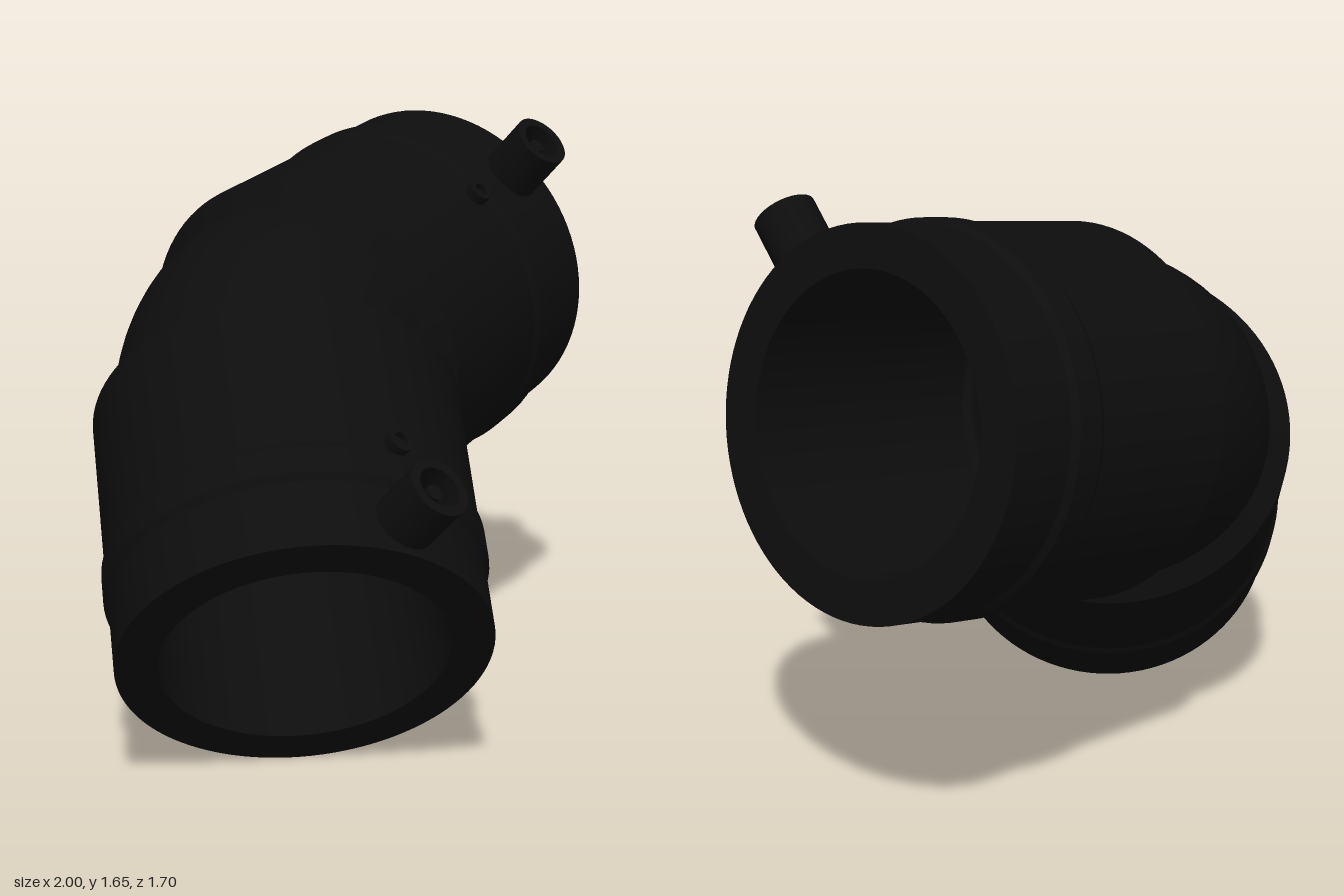
import * as THREE from 'three';
import { toCreasedNormals } from 'three/addons/utils/BufferGeometryUtils.js';

const rad = THREE.MathUtils.degToRad;
const black = new THREE.MeshStandardMaterial({ color: 0x0d0d0d, side: THREE.DoubleSide });
black.name = 'black plastic';

function lathe(name, profile, segments) {
  const geo = new THREE.LatheGeometry(profile.map(([r, y]) => new THREE.Vector2(r, y)), segments);
  const mesh = new THREE.Mesh(toCreasedNormals(geo, rad(25)), black);
  mesh.name = name;
  return mesh;
}

// One pipe socket: runs along +y from the bend corner, fittings point to +z
function makeSocket(name) {
  const socket = new THREE.Group();
  socket.name = name;

  // Chamfered shoulder, raised band, open mouth, bore and pipe stop
  socket.add(lathe('socketWall', [
    [0.45, 0.115], [0.515, 0.17], [0.507, 0.655], [0.517, 0.675], [0.516, 0.755],
    [0.503, 0.775], [0.5, 0.973], [0.387, 0.973], [0.385, 0.18], [0.36, 0.165],
  ], 96));

  // Shrouded terminal with a contact pin in its well
  const terminal = lathe('terminal', [
    [0.085, 0.45], [0.085, 0.652], [0.058, 0.652], [0.058, 0.54],
    [0.022, 0.54], [0.022, 0.63], [0, 0.63],
  ], 32);
  terminal.position.y = 0.867;

  // Small fusion indicator with a recessed centre
  const indicator = lathe('indicator', [
    [0.036, 0.45], [0.036, 0.535], [0.02, 0.535], [0.02, 0.518], [0, 0.518],
  ], 24);
  indicator.position.y = 0.63;

  for (const part of [terminal, indicator]) {
    part.rotation.x = Math.PI / 2;
    socket.add(part);
  }
  return socket;
}

export function createModel() {
  const model = new THREE.Group();
  model.name = 'pipeElbow';

  // The bend lies in a plane tilted back by 45 degrees
  const elbow = new THREE.Group();
  elbow.name = 'elbow';
  elbow.rotation.x = -Math.PI / 4;
  model.add(elbow);

  const corner = new THREE.Vector3(-0.065, 0.836, 0.564);
  for (const [name, angle] of [['leftSocket', 13.5], ['rightSocket', 238.5]]) {
    const socket = makeSocket(name);
    socket.position.copy(corner);
    socket.rotation.z = rad(angle - 90);
    elbow.add(socket);
  }

  // Curved middle: outer body and inner bore
  const bendRadius = 0.41;
  const offset = bendRadius / Math.cos(rad(22.5));
  for (const [name, r] of [['bendBody', 0.455], ['bendBore', 0.36]]) {
    const bend = new THREE.Mesh(new THREE.TorusGeometry(bendRadius, r, 72, 24, rad(45)), black);
    bend.name = name;
    bend.position.set(
      corner.x + offset * Math.cos(rad(-54)),
      corner.y + offset * Math.sin(rad(-54)),
      corner.z
    );
    bend.rotation.z = rad(103.5);
    elbow.add(bend);
  }
  return model;
}
